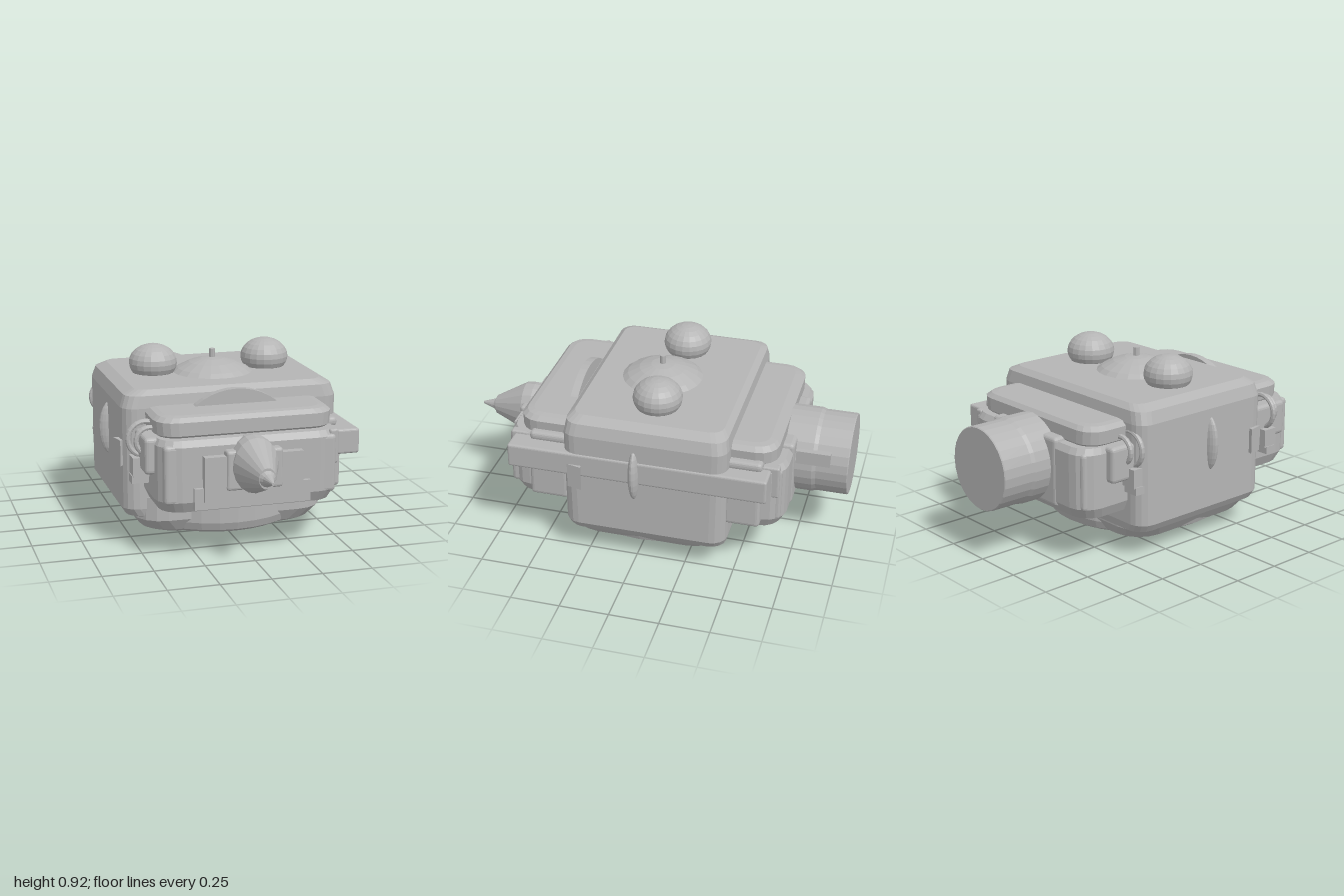
import * as THREE from 'three';
import { RoundedBoxGeometry } from 'three/addons/geometries/RoundedBoxGeometry.js';

export function createModel() {
  const group = new THREE.Group();
  const grey = new THREE.MeshStandardMaterial({ color: 0xb4b4b4, flatShading: true });
  grey.name = 'hull grey';

  function add(name, geo, x = 0, y = 0, z = 0) {
    const mesh = new THREE.Mesh(geo, grey);
    mesh.name = name;
    mesh.position.set(x, y, z);
    group.add(mesh);
    return mesh;
  }

  // box given by its min and max on each axis
  function box(name, x0, x1, y0, y1, z0, z1, r = 0) {
    const w = x1 - x0, h = y1 - y0, d = z1 - z0;
    const geo = r ? new RoundedBoxGeometry(w, h, d, 2, r) : new THREE.BoxGeometry(w, h, d);
    return add(name, geo, (x0 + x1) / 2, (y0 + y1) / 2, (z0 + z1) / 2);
  }

  // stack of rounded rectangles: [y, half width, half depth, corner radius]
  function loft(name, sections, cz) {
    const pos = [], idx = [], steps = 4, n = 4 * (steps + 1);
    for (const [y, hx, hz, r] of sections) {
      for (let q = 0; q < 4; q++) {
        const sx = q === 0 || q === 3 ? 1 : -1, sz = q < 2 ? 1 : -1;
        for (let i = 0; i <= steps; i++) {
          const a = (q + i / steps) * Math.PI / 2;
          pos.push(sx * (hx - r) + r * Math.cos(a), y, sz * (hz - r) + r * Math.sin(a));
        }
      }
    }
    const top = (sections.length - 1) * n;
    for (let s = 0; s < top; s += n) {
      for (let i = 0; i < n; i++) {
        const a = s + i, b = s + (i + 1) % n;
        idx.push(a, a + n, b, b, a + n, b + n);
      }
    }
    for (let i = 1; i < n - 1; i++) idx.push(0, i, i + 1, top, top + i + 1, top + i);
    const geo = new THREE.BufferGeometry();
    geo.setAttribute('position', new THREE.Float32BufferAttribute(pos, 3));
    geo.setIndex(idx);
    geo.computeVertexNormals();
    return add(name, geo, 0, 0, cz);
  }

  // profile [radius, height] turned to run along +z
  function latheZ(name, profile, y, z, segments) {
    const geo = new THREE.LatheGeometry(profile.map(p => new THREE.Vector2(...p)), segments);
    geo.rotateX(Math.PI / 2);
    return add(name, geo, 0, y, z);
  }

  // main hull
  loft('mainHull', [
    [0.12, 0.48, 0.37, 0.08], [0.14, 0.53, 0.405, 0.08], [0.18, 0.555, 0.415, 0.08],
    [0.69, 0.555, 0.415, 0.07], [0.75, 0.535, 0.405, 0.07], [0.775, 0.48, 0.375, 0.06],
  ], -0.045);
  // belly
  loft('belly', [
    [0.04, 0.40, 0.35, 0.14], [0.06, 0.445, 0.385, 0.15],
    [0.12, 0.49, 0.42, 0.15], [0.24, 0.49, 0.42, 0.15],
  ], -0.01);
  add('bellyDisc', new THREE.LatheGeometry([
    [0, 0.04], [0.42, 0.04], [0.455, 0.06], [0.47, 0.1], [0.47, 0.22], [0.45, 0.24], [0, 0.24],
  ].map(p => new THREE.Vector2(...p)), 32));

  // front and back pods with lids
  for (const [side, cz, grow] of [['front', 0.42, 0], ['back', -0.45, 0.01]]) {
    const d = 0.27 + grow;
    loft(side + 'Pod', [
      [0.23, 0.39, d - 0.08, 0.08], [0.245, 0.43, d - 0.03, 0.1], [0.3, 0.455, d, 0.11],
      [0.57, 0.455, d, 0.11], [0.6, 0.44, d - 0.02, 0.1],
    ], cz);
    loft(side + 'Lid', [
      [0.59, 0.41, 0.19, 0.08], [0.61, 0.44, 0.21, 0.1],
      [0.675, 0.445, 0.21, 0.1], [0.695, 0.42, 0.19, 0.09], [0.70, 0.39, 0.16, 0.07],
    ], side === 'front' ? cz : -0.47);
  }

  // top dome with aerial, round lamps, feet
  add('topDome', new THREE.LatheGeometry([
    [0.225, 0.76], [0.18, 0.795], [0.12, 0.825], [0.06, 0.842], [0, 0.848],
  ].map(p => new THREE.Vector2(...p)), 20));
  add('aerial', new THREE.CylinderGeometry(0.015, 0.015, 0.08, 10), 0, 0.85, 0);
  for (const s of [-1, 1]) {
    add('topLamp', new THREE.SphereGeometry(0.124, 20, 12), s * 0.3, 0.825, -0.055).scale.y = 0.78;
    add('foot', new THREE.SphereGeometry(0.1, 18, 10), s * 0.3, 0.05, -0.02).scale.y = 0.5;
    // lens shaped side disc
    add('sideDisc', new THREE.SphereGeometry(0.145, 20, 12), s * 0.53, 0.51, 0).scale.set(0.48, 1, 0.21);
    // side fin
    const fin = new THREE.CylinderGeometry(0.045, 0.045, 0.13, 3);
    add('sideFin', fin, s * 0.55, 0.465, 0.295).rotation.y = s * 0.3;
  }

  // half disc on the front lid
  const crest = new THREE.CylinderGeometry(0.33, 0.33, 0.04, 48);
  crest.rotateX(Math.PI / 2);
  add('lidCrest', crest, 0, 0.445, 0.41);

  // front panel and nose
  box('panelFrame', -0.29, 0.29, 0.265, 0.37, 0.66, 0.71);
  box('frontPanel', -0.245, 0.245, 0.305, 0.525, 0.66, 0.73);
  box('noseBlock', -0.14, 0.14, 0.355, 0.55, 0.64, 0.74, 0.015);
  const nose = latheZ('noseCone', [[0, 0], [0.10, 0], [0.112, 0.06], [0.112, 0.11], [0.042, 0.28], [0, 0.28]], 0.475, 0.64, 18);
  nose.scale.y = 1.22;
  // lean the upper base of the cone back
  const np = nose.geometry.attributes.position;
  for (let i = 0; i < np.count; i++) {
    const t = Math.max(0, 1 - np.getZ(i) / 0.28);
    np.setY(i, np.getY(i) - 0.012 + t * 0.02);
  }
  nose.geometry.computeVertexNormals();
  latheZ('noseTip', [[0, 0], [0.04, 0], [0.028, 0.015], [0.006, 0.08], [0, 0.08]], 0.46, 0.92, 14);

  // rear thruster
  latheZ('thruster', [
    [0, -0.3], [0.205, -0.3], [0.209, -0.295], [0.209, -0.14],
    [0.216, -0.12], [0.216, 0.1], [0, 0.1],
  ], 0.465, -0.7, 28);
  box('thrusterTab', 0.17, 0.215, 0.5, 0.57, -0.91, -0.74);
  box('thrusterPlate', -0.25, 0.25, 0.27, 0.62, -0.735, -0.66, 0.02);

  // long side rail and the boxes around it on the left
  box('sideRail', 0.44, 0.562, 0.465, 0.59, -0.66, 0.65, 0.012);
  box('railClamp', 0.40, 0.445, 0.43, 0.6, 0.56, 0.67, 0.01);
  box('railClamp', 0.40, 0.445, 0.43, 0.6, -0.70, -0.58, 0.01);
  for (const [z0, z1] of [[0.36, 0.56], [-0.62, -0.44]]) {
    box('lowerSideBox', 0.42, 0.5, 0.275, 0.46, z0, z1, 0.02);
    box('upperSideBox', 0.40, 0.48, 0.58, 0.63, z0, z1, 0.02);
  }

  // hose loops and boxes on the right
  for (const [z, dir] of [[0.45, 1], [-0.45, -1]]) {
    for (const k of [0, 1]) {
      const loop = new THREE.TorusGeometry(0.085 - k * 0.02, 0.013, 8, 24);
      add('hoseLoop', loop, -0.465 + k * 0.01, 0.565, z + dir * k * 0.045);
    }
    const a = z + dir * 0.14, lo = Math.min(z - dir * 0.08, a), hi = Math.max(z - dir * 0.08, a);
    box('sideBox', -0.5, -0.42, 0.42, 0.60, lo, hi, 0.02);
    box('hoseSocket', -0.535, -0.44, 0.385, 0.42, z - 0.04, z + 0.04);
    box('lowerSocket', -0.535, -0.475, 0.42, 0.48, z - 0.04, z + 0.04);
    box('socketFoot', -0.54, -0.44, 0.35, 0.39, z - 0.03, z + 0.03);
  }

  // corner blocks on the pods
  for (const s of [-1, 1]) {
    for (const [z0, z1] of [[0.58, 0.685], [-0.71, -0.58]]) {
      const x0 = s > 0 ? 0.34 : -0.43;
      box('cornerBlock', x0, x0 + 0.09, 0.29, 0.58, z0, z1, 0.02);
    }
  }
  return group;
}
